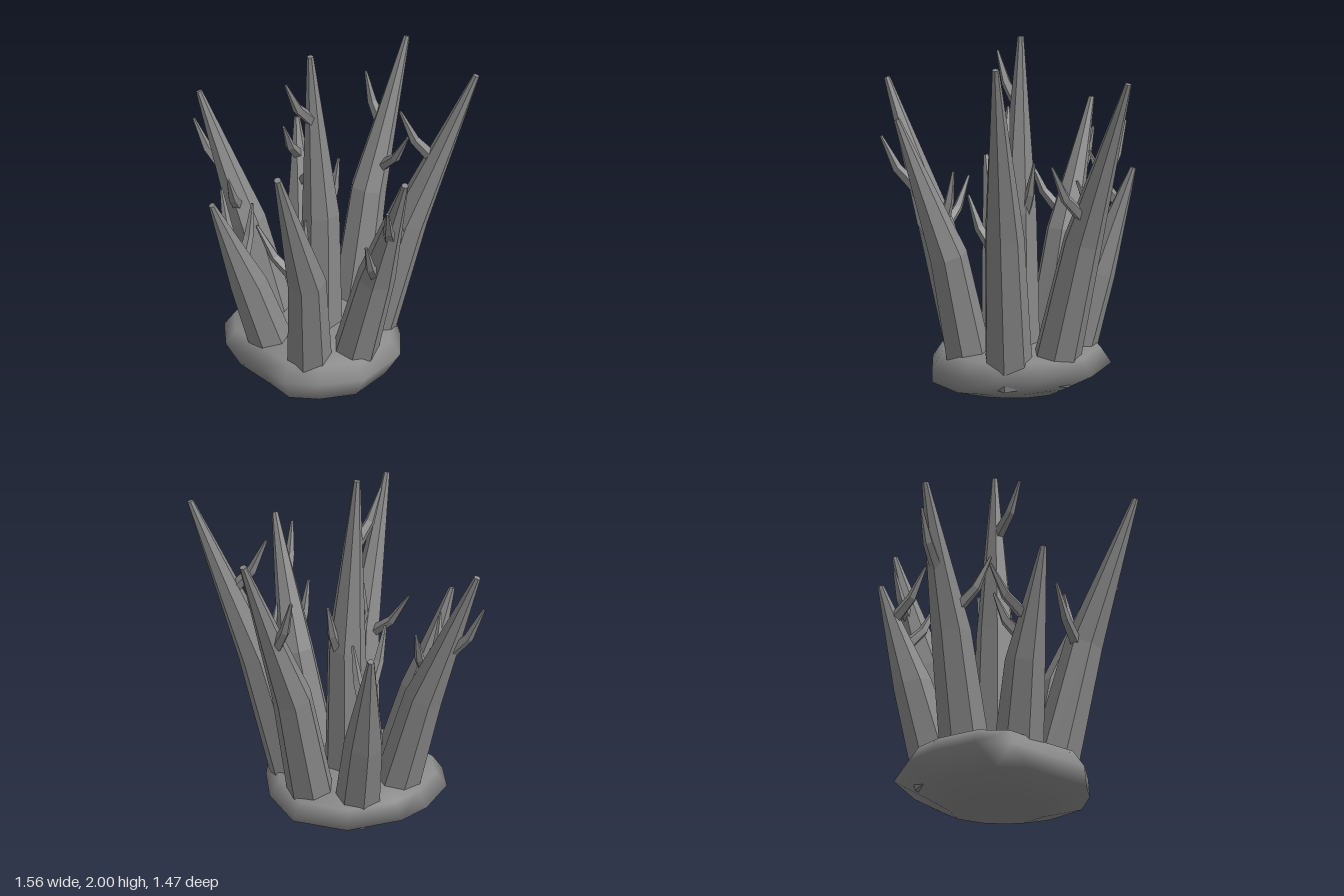
import * as THREE from 'three';

const stone = new THREE.MeshStandardMaterial({ color: 0x888888 });
stone.name = 'grey stone';

// Skin a stack of rings (bottom to top) and close both ends
function loft(rings, smooth) {
  const n = rings[0].length, pos = [], idx = [];
  const add = (p) => pos.push(p.x, p.y, p.z);
  const centre = (r) => r.reduce((s, p) => s.add(p), new THREE.Vector3()).divideScalar(n);
  rings.forEach((r) => r.forEach(add));
  const bottom = rings.length * n, top = bottom + 1, last = (rings.length - 1) * n;
  add(centre(rings[0]));
  add(centre(rings[rings.length - 1]));
  for (let i = 0; i < n; i++) {
    const k = (i + 1) % n;
    for (let j = 0; j < last; j += n) {
      idx.push(j + i, j + n + i, j + k, j + k, j + n + i, j + n + k);
    }
    idx.push(bottom, i, k, top, last + k, last + i);
  }
  let geo = new THREE.BufferGeometry();
  geo.setAttribute('position', new THREE.Float32BufferAttribute(pos, 3));
  geo.setIndex(idx);
  if (!smooth) geo = geo.toNonIndexed();
  geo.computeVertexNormals();
  return geo;
}

// Faceted tapering limb through base, bend and tip, one radius for each
function limb(name, p, radii, sides, turn) {
  const rings = p.map((c, j) => {
    const t = p[Math.min(j + 1, 2)].clone().sub(p[Math.max(j - 1, 0)]).normalize();
    const u = new THREE.Vector3(1, 0, 0).addScaledVector(t, -t.x).normalize();
    const v = u.clone().cross(t);
    return Array.from({ length: sides }, (_, i) => {
      const a = turn + (i / sides) * Math.PI * 2;
      return c.clone().addScaledVector(u, Math.cos(a) * radii[j]).addScaledVector(v, Math.sin(a) * radii[j]);
    });
  });
  const mesh = new THREE.Mesh(loft(rings, false), stone);
  mesh.name = name;
  return mesh;
}

// Point between a and b: one fraction across, another upward
function between(a, b, across, up) {
  return new THREE.Vector3(
    THREE.MathUtils.lerp(a.x, b.x, across),
    THREE.MathUtils.lerp(a.y, b.y, up),
    THREE.MathUtils.lerp(a.z, b.z, across));
}

// A spike bends upward (with a little sideways sway), then out to its tip;
// its twigs leave the shaft below their own tips
function spike(name, base, tipAt, twigTips, turn, [swayX, swayZ] = [0, 0]) {
  const group = new THREE.Group();
  group.name = name;
  const tip = new THREE.Vector3(...tipAt);
  const bend = between(base, tip, 0.385, 0.48);
  bend.x += swayX;
  bend.z += swayZ;
  group.add(limb('shaft', [base, bend, tip], [0.137, 0.108, 0.018], 7, turn));
  twigTips.forEach((at) => {
    const end = new THREE.Vector3(...at);
    const f = (end.y - 0.28 - bend.y) / (tip.y - bend.y);
    const root = bend.clone().lerp(tip, f);
    const out = end.clone().sub(root).setY(0).normalize();
    root.addScaledVector(out, 0.065 * (1 - f));
    const elbow = between(root, end, 0.55, 0.38);
    group.add(limb('twig', [root, elbow, end], [0.035, 0.028, 0.008], 5, turn));
  });
  return group;
}

// Outer spikes in order round the foot: tip, twig tips, sway of the bend
const outerSpikes = [
  ['leftSpike', [0.765, 1.88, -0.09], [[0.37, 1.66, -0.09], [0.34, 1.18, 0.13]]],
  ['frontLeftSpike', [0.37, 1.58, 0.51], [[0.28, 1.48, 0.62], [0.18, 1.17, 0.48]], [0.03, -0.03]],
  ['frontSpike', [-0.265, 1.75, 0.72], [[-0.4, 1.17, 0.27], [-0.14, 1.23, 0.31]], [0.045, 0]],
  ['frontRightSpike', [-0.64, 1.26, 0.21], [[-0.44, 1.09, -0.06], [-0.61, 1.18, -0.07]], [-0.02, -0.01]],
  ['backRightSpike', [-0.735, 1.61, -0.41], [[-0.775, 1.43, -0.42], [-0.57, 1.24, -0.07]]],
  ['backSpike', [-0.2, 1.27, -0.705], [[-0.27, 1.35, -0.45], [-0.1, 1.2, -0.4]], [-0.01, -0.02]],
  ['backLeftSpike', [0.43, 1.79, -0.72], [[0.43, 1.35, -0.33], [0.2, 1.58, -0.69]], [-0.02, -0.01]],
];

// Outline of the rocky foot, as x and z
const outline = [
  [0.41, -0.04], [0.4, 0.15], [0.19, 0.37], [-0.06, 0.42], [-0.27, 0.4], [-0.4, 0.26], [-0.62, 0.05],
  [-0.64, -0.14], [-0.52, -0.37], [-0.38, -0.5], [-0.08, -0.61], [0.22, -0.53], [0.37, -0.28],
];

export function createModel() {
  const model = new THREE.Group();
  model.name = 'spikyCluster';

  // Rock foot: height, scale of the outline about its middle, forward shift
  const levels = [[0, 0.5, 0.03], [0.07, 0.83, 0.09], [0.17, 1, 0], [0.26, 0.88, 0], [0.28, 0.5, 0]];
  const rings = levels.map(([y, s, shift]) => outline.map(([x, z]) =>
    new THREE.Vector3(-0.11 + (x + 0.11) * s, y, -0.08 + (z + 0.08) * s + shift)));
  const rock = new THREE.Mesh(loft(rings, true), stone);
  rock.name = 'rockFoot';
  model.add(rock);

  // One spike in the middle, seven evenly spaced round it, all rooted inside the rock
  const middle = new THREE.Vector3(-0.065, 0.13, -0.07);
  model.add(spike('centreSpike', middle, [-0.11, 2, -0.08], [[-0.235, 1.91, 0.07], [0.04, 1.31, -0.18]], 0.3, [0.025, 0]));
  outerSpikes.forEach(([name, tip, twigTips, sway], i) => {
    const a = (i / outerSpikes.length) * Math.PI * 2;
    const base = new THREE.Vector3(Math.cos(a), 0, Math.sin(a)).multiplyScalar(0.295).add(middle);
    model.add(spike(name, base, tip, twigTips, a, sway));
  });
  return model;
}
